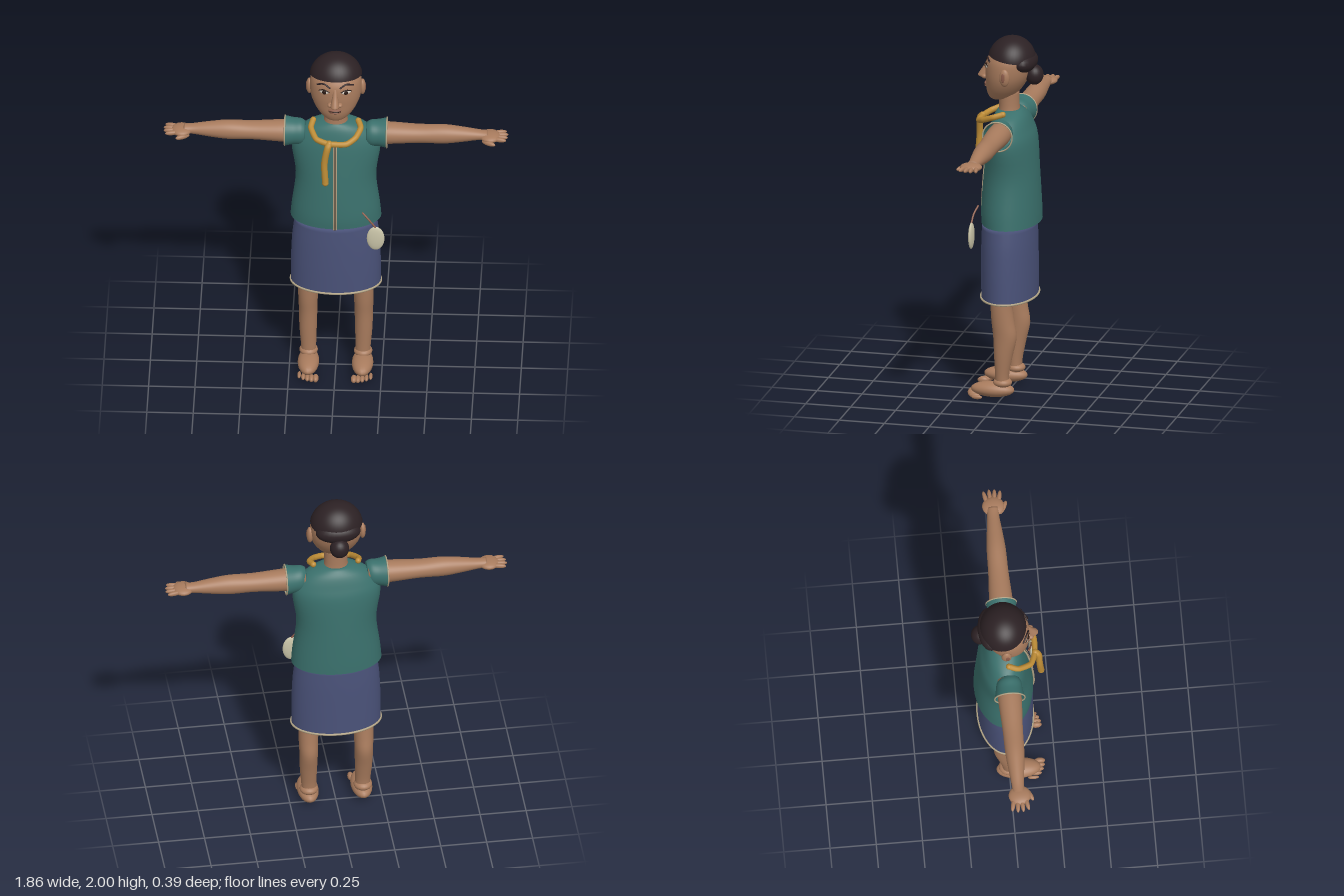
import * as THREE from 'three';

const mat = (name, color, side = THREE.FrontSide) => {
  const m = new THREE.MeshStandardMaterial({ color, side });
  m.name = name;
  return m;
};

// Smooth tube of elliptical rings [y, cx, rx, zFront, zBack], splined along y
function loft(rings, { capBottom = true, capTop = true, sub = 4, n = 40 } = {}) {
  const pos = [], idx = [], rows = [];
  const cm = (a, b, c, d, t) => 0.5 * (2 * b + (c - a) * t + (2 * a - 5 * b + 4 * c - d) * t * t + (3 * b - a - 3 * c + d) * t * t * t);
  for (let i = 0; i < rings.length - 1; i++)
    for (let k = 0; k < sub; k++) {
      const at = j => rings[Math.min(Math.max(j, 0), rings.length - 1)];
      rows.push(rings[i].map((_, q) => cm(at(i - 1)[q], at(i)[q], at(i + 1)[q], at(i + 2)[q], k / sub)));
    }
  rows.push(rings[rings.length - 1]);
  for (const [y, cx, rx, zf, zb] of rows)
    for (let j = 0; j < n; j++) {
      const a = j / n * Math.PI * 2;
      pos.push(cx + Math.sin(a) * rx, y, (zf + zb) / 2 + Math.cos(a) * (zf - zb) / 2);
    }
  for (let i = 0; i < rows.length - 1; i++)
    for (let j = 0; j < n; j++) {
      const a = i * n + j, b = i * n + (j + 1) % n;
      idx.push(a, b, b + n, a, b + n, a + n);
    }
  const cap = (row, top) => {
    const [y, cx, , zf, zb] = rows[row], c = pos.length / 3;
    pos.push(cx, y, (zf + zb) / 2);
    for (let j = 0; j < n; j++) {
      const a = row * n + j, b = row * n + (j + 1) % n;
      top ? idx.push(c, a, b) : idx.push(c, b, a);
    }
  };
  if (capBottom) cap(0, false);
  if (capTop) cap(rows.length - 1, true);
  const g = new THREE.BufferGeometry();
  g.setAttribute('position', new THREE.Float32BufferAttribute(pos, 3));
  g.setIndex(idx);
  g.computeVertexNormals();
  return g;
}

export function createModel() {
  const skin = mat('skin', 0xa87b5d), hair = mat('hair', 0x2c2124, THREE.DoubleSide);
  const teal = mat('teal cloth', 0x3a706c, THREE.DoubleSide), blue = mat('blue cloth', 0x4a5279, THREE.DoubleSide);
  const gold = mat('gold scarf', 0xbd8c36), trim = mat('trim', 0xb0a284);
  const cream = mat('cream', 0xc9c4a8), white = mat('eye white', 0xd8d0c4);
  const dark = mat('dark brown', 0x2a1a14), lip = mat('lip', 0x8c5c4a);

  const root = new THREE.Group();
  const add = (name, geo, m, parent = root) => {
    const mesh = new THREE.Mesh(geo, m);
    mesh.name = name;
    parent.add(mesh);
    return mesh;
  };
  const ball = (name, m, p, r, parent = root) => {
    const b = add(name, new THREE.SphereGeometry(1, 24, 16), m, parent);
    b.position.set(...p);
    b.scale.set(...r);
    return b;
  };
  const tube = (name, m, pts, r, closed = false, tension = 0.5) => {
    const curve = new THREE.CatmullRomCurve3(pts.map(p => new THREE.Vector3(...p)), closed, 'catmullrom', tension);
    const t = add(name, new THREE.TubeGeometry(curve, 64, r, 10, closed), m);
    if (!closed) for (const p of [pts[0], pts[pts.length - 1]]) ball(name + 'End', m, p, [r, r, r]);
    return t;
  };

  // Shirt with front opening
  add('shirt', loft([
    [0.97, 0, 0.245, 0.137, -0.18], [1.05, 0, 0.238, 0.14, -0.178], [1.24, 0, 0.217, 0.126, -0.168],
    [1.42, 0, 0.24, 0.105, -0.153], [1.5, 0, 0.218, 0.09, -0.13], [1.555, 0, 0.165, 0.075, -0.108],
    [1.585, 0, 0.1, 0.06, -0.085], [1.595, 0, 0.065, 0.05, -0.07]
  ], { capBottom: false }), teal);
  for (const s of [-1, 1])
    tube('placket', trim, [[s * 0.006, 0.972, 0.141], [s * 0.006, 1.05, 0.145], [s * 0.006, 1.24, 0.133],
      [s * 0.006, 1.42, 0.112], [s * 0.006, 1.5, 0.094]], 0.005);
  tube('opening', dark, [[0, 0.972, 0.141], [0, 1.05, 0.145], [0, 1.24, 0.133], [0, 1.42, 0.112], [0, 1.49, 0.096]], 0.0045);

  // Wrap skirt with hem
  add('skirt', loft([
    [0.55, 0, 0.243, 0.138, -0.158], [0.7, 0, 0.242, 0.14, -0.158], [0.85, 0, 0.235, 0.139, -0.157], [0.96, 0, 0.221, 0.135, -0.153]
  ], { capBottom: false }), blue);
  const hem = [];
  for (let i = 0; i < 24; i++) {
    const a = i / 24 * Math.PI * 2;
    hem.push([Math.sin(a) * 0.244, 0.552, -0.01 + Math.cos(a) * 0.15]);
  }
  tube('hem', trim, hem, 0.006, true);

  for (const s of [-1, 1]) {
    // Leg and foot
    add('leg', loft([
      [0.06, s * 0.145, 0.04, 0.035, -0.042], [0.13, s * 0.147, 0.041, 0.035, -0.04], [0.24, s * 0.15, 0.047, 0.04, -0.06],
      [0.35, s * 0.15, 0.05, 0.045, -0.083], [0.44, s * 0.15, 0.053, 0.055, -0.07], [0.55, s * 0.147, 0.057, 0.062, -0.06],
      [0.75, s * 0.13, 0.07, 0.075, -0.075]
    ]), skin);
    ball('ankle', skin, [s * 0.147, 0.092, -0.005], [0.05, 0.028, 0.052]);
    ball('foot', skin, [s * 0.146, 0.05, 0.05], [0.058, 0.042, 0.12]);
    for (let i = 0; i < 5; i++) {
      const r = 0.019 - i * 0.0018;
      ball('toe', skin, [s * (0.103 + i * 0.0225), r, 0.167 - i * i * 0.0025], [r * 0.85, r, 0.03]);
    }

    // Arm, lofted upright then turned outward
    const arm = new THREE.Group();
    arm.name = 'arm';
    arm.position.set(0, 1.51, -0.008);
    arm.rotation.z = -s * Math.PI / 2;
    root.add(arm);
    add('upperAndForearm', loft([
      [0.17, 0, 0.06, 0.06, -0.06], [0.28, 0, 0.06, 0.064, -0.064], [0.45, 0, 0.05, 0.055, -0.055],
      [0.58, 0, 0.053, 0.052, -0.052], [0.68, 0, 0.042, 0.043, -0.043], [0.77, 0, 0.028, 0.033, -0.033], [0.82, 0, 0.025, 0.035, -0.03]
    ]), skin, arm);
    add('sleeve', loft([
      [0.165, 0, 0.06, 0.06, -0.05], [0.19, 0, 0.073, 0.07, -0.065], [0.23, 0, 0.074, 0.073, -0.073], [0.275, 0, 0.083, 0.083, -0.083]
    ], { capTop: false }), teal, arm);
    const cuff = add('cuff', new THREE.TorusGeometry(0.082, 0.004, 8, 40), trim, arm);
    cuff.rotation.x = Math.PI / 2;
    cuff.position.y = 0.275;

    // Hand
    ball('palm', skin, [s * 0.832, 1.505, -0.003], [0.056, 0.023, 0.06]);
    for (let i = 0; i < 4; i++) {
      const f = ball('finger', skin, [s * (0.893 - Math.abs(i - 1.4) * 0.008), 1.505, -0.042 + i * 0.025], [0.04, 0.013, 0.012]);
      f.rotation.y = -s * (i - 1.5) * 0.14;
    }
    const thumb = ball('thumb', skin, [s * 0.825, 1.493, 0.05], [0.042, 0.014, 0.014]);
    thumb.rotation.y = -s * 0.5;

    // Ear, eye and brow
    ball('ear', skin, [s * 0.143, 1.803, -0.014], [0.018, 0.048, 0.028]);
    ball('earInner', lip, [s * 0.158, 1.806, -0.01], [0.004, 0.026, 0.012]);
    const eye = ball('eye', white, [s * 0.06, 1.843, 0.104], [0.027, 0.013, 0.009]);
    const iris = ball('iris', dark, [s * 0.059, 1.843, 0.112], [0.012, 0.012, 0.004]);
    eye.rotation.y = iris.rotation.y = s * 0.38;
    tube('eyelid', dark, [[s * 0.033, 1.846, 0.115], [s * 0.06, 1.858, 0.109], [s * 0.086, 1.847, 0.095]], 0.003);
    tube('brow', hair, [[s * 0.028, 1.872, 0.113], [s * 0.06, 1.889, 0.1], [s * 0.097, 1.875, 0.08]], 0.0045);
    ball('nostril', skin, [s * 0.026, 1.771, 0.125], [0.015, 0.013, 0.018]);
  }

  // Neck and head
  add('neck', loft([[1.55, 0, 0.078, 0.06, -0.075], [1.6, 0, 0.064, 0.05, -0.062], [1.7, 0, 0.064, 0.05, -0.06]]), skin);
  add('head', loft([
    [1.643, 0, 0.025, 0.085, 0.03], [1.66, 0, 0.066, 0.104, -0.02], [1.7, 0, 0.102, 0.117, -0.065],
    [1.75, 0, 0.128, 0.12, -0.1], [1.8, 0, 0.139, 0.122, -0.122], [1.86, 0, 0.138, 0.117, -0.132],
    [1.9, 0, 0.124, 0.098, -0.125], [1.94, 0, 0.095, 0.065, -0.1], [1.97, 0, 0.05, 0.02, -0.06]
  ]), skin);
  add('nose', loft([
    [1.757, 0, 0.014, 0.145, 0.1], [1.768, 0, 0.024, 0.168, 0.1], [1.785, 0, 0.022, 0.162, 0.1],
    [1.82, 0, 0.015, 0.139, 0.1], [1.865, 0, 0.011, 0.115, 0.09]
  ]), skin);
  ball('upperLip', lip, [0, 1.732, 0.117], [0.036, 0.007, 0.014]);
  ball('lowerLip', lip, [0, 1.718, 0.117], [0.03, 0.008, 0.013]);
  ball('mouthLine', dark, [0, 1.725, 0.121], [0.034, 0.002, 0.01]);

  // Hair cap, back roll and bun
  const cap = add('hairCap', new THREE.SphereGeometry(1, 40, 20, 0, Math.PI * 2, 0, 1.42), hair);
  cap.position.set(0, 1.865, -0.02);
  cap.scale.set(0.143, 0.135, 0.13);
  cap.rotation.x = -0.15;
  ball('hairRoll', hair, [0, 1.865, -0.093], [0.122, 0.058, 0.066]);
  ball('bun', hair, [0, 1.793, -0.145], [0.052, 0.056, 0.05]);

  // Scarf looped round the neck with a hanging end
  tube('scarfLoop', gold, [[-0.122, 1.59, 0.0], [-0.132, 1.57, 0.05], [-0.1, 1.543, 0.12], [-0.03, 1.532, 0.148],
    [0.06, 1.532, 0.148], [0.11, 1.55, 0.11], [0.136, 1.575, 0.05], [0.122, 1.59, 0.0]], 0.016, false, 0.3);
  tube('scarfEnd', gold, [[-0.03, 1.535, 0.15], [-0.04, 1.51, 0.168], [-0.055, 1.42, 0.172], [-0.05, 1.3, 0.18]], 0.018);

  // Hanging pouch
  ball('pouch', cream, [0.22, 0.927, 0.15], [0.048, 0.074, 0.014]);
  tube('pouchCord', lip, [[0.15, 1.075, 0.13], [0.185, 1.04, 0.145], [0.218, 0.998, 0.15]], 0.005);

  return root;
}
